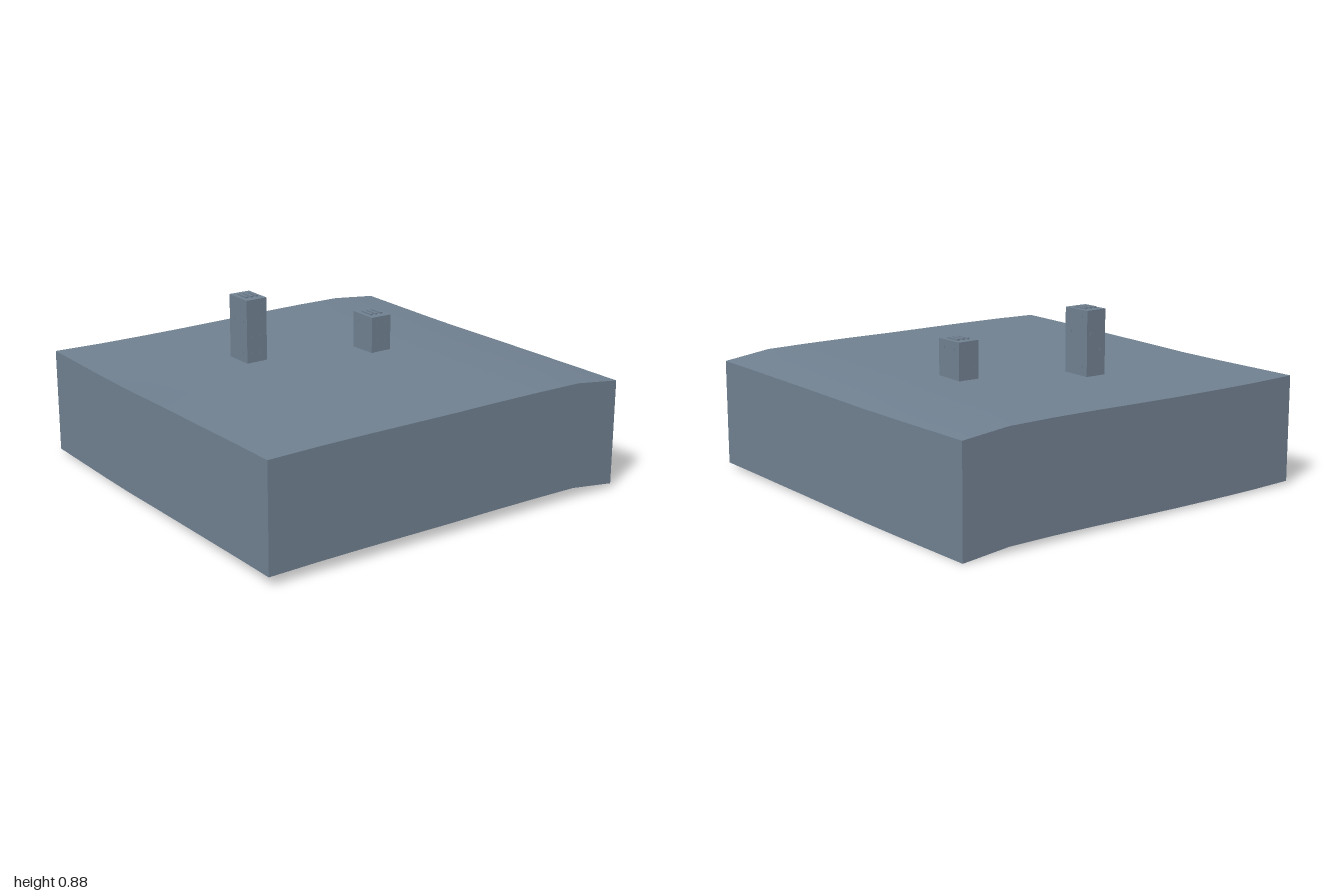
import * as THREE from 'three';

const SKIRT = 0.533;
// Ground heights every 0.25 in x along the front and back edges
const frontEdge = [0.583, 0.588, 0.59, 0.59, 0.59, 0.592, 0.592, 0.59, 0.558];
const backEdge = [0.553, 0.549, 0.549, 0.551, 0.555, 0.56, 0.563, 0.562, 0.537];
// Share of the front profile from back to front, every 0.25 in z
const blend = [0, 0, 0, 0.07, 0.3, 0.5, 0.68, 0.87, 1];

function sample(list, v) {
  const t = THREE.MathUtils.clamp((v + 1) * 4, 0, 8);
  const i = Math.min(7, Math.floor(t));
  return THREE.MathUtils.lerp(list[i], list[i + 1], t - i);
}

const groundHeight = (x, z) =>
  THREE.MathUtils.lerp(sample(backEdge, x), sample(frontEdge, x), sample(blend, z));

export function createModel() {
  const group = new THREE.Group();
  const slate = new THREE.MeshStandardMaterial({ color: 0x708090, side: THREE.DoubleSide });
  slate.name = 'slate';

  const add = (parent, name, geometry, x = 0, y = 0, z = 0) => {
    const mesh = new THREE.Mesh(geometry, slate);
    mesh.name = name;
    mesh.position.set(x, y, z);
    parent.add(mesh);
    return mesh;
  };

  // Gently rolling ground
  const ground = new THREE.PlaneGeometry(2, 2, 8, 8).rotateX(-Math.PI / 2);
  const gp = ground.attributes.position;
  for (let i = 0; i < gp.count; i++) gp.setY(i, groundHeight(gp.getX(i), gp.getZ(i)));
  ground.computeVertexNormals();
  add(group, 'ground', ground);

  // Four side walls that follow the ground, open underneath
  ['frontWall', 'leftWall', 'backWall', 'rightWall'].forEach((name, k) => {
    const wall = new THREE.PlaneGeometry(2, 1, 8, 1).translate(0, 0, 1).rotateY(k * Math.PI / 2);
    const p = wall.attributes.position;
    for (let i = 0; i < p.count; i++) {
      const h = groundHeight(p.getX(i), p.getZ(i));
      p.setY(i, p.getY(i) > 0 ? h : h - SKIRT);
    }
    add(group, name, wall);
  });

  // Towers with small windows and three roof slats
  function tower(name, x, z, top, floors) {
    const w = 0.116, d = 0.16, base = groundHeight(x, z) - 0.003;
    const t = new THREE.Group();
    t.name = name;
    t.position.set(x, base, z);
    const h = top - base;
    add(t, 'towerBody', new THREE.BoxGeometry(w, h, d), 0, h / 2, 0);
    for (const i of [-1, 0, 1]) {
      add(t, 'roofSlat', new THREE.BoxGeometry(0.014, 0.008, 0.08), i * 0.029, h + 0.004, 0);
    }
    for (let f = 0; f < floors; f++) {
      const y = h * (f + 0.6) / floors;
      for (const s of [-1, 1]) {
        for (const i of [-1, 1]) {
          add(t, 'window', new THREE.BoxGeometry(0.014, 0.014, 0.002), i * 0.028, y, s * d / 2);
          add(t, 'window', new THREE.BoxGeometry(0.002, 0.014, 0.014), s * w / 2, y, i * 0.04);
        }
      }
    }
    group.add(t);
  }
  tower('tallTower', -0.252, -0.335, 0.878, 4);
  tower('shortTower', 0.333, -0.085, 0.754, 2);

  return group;
}
